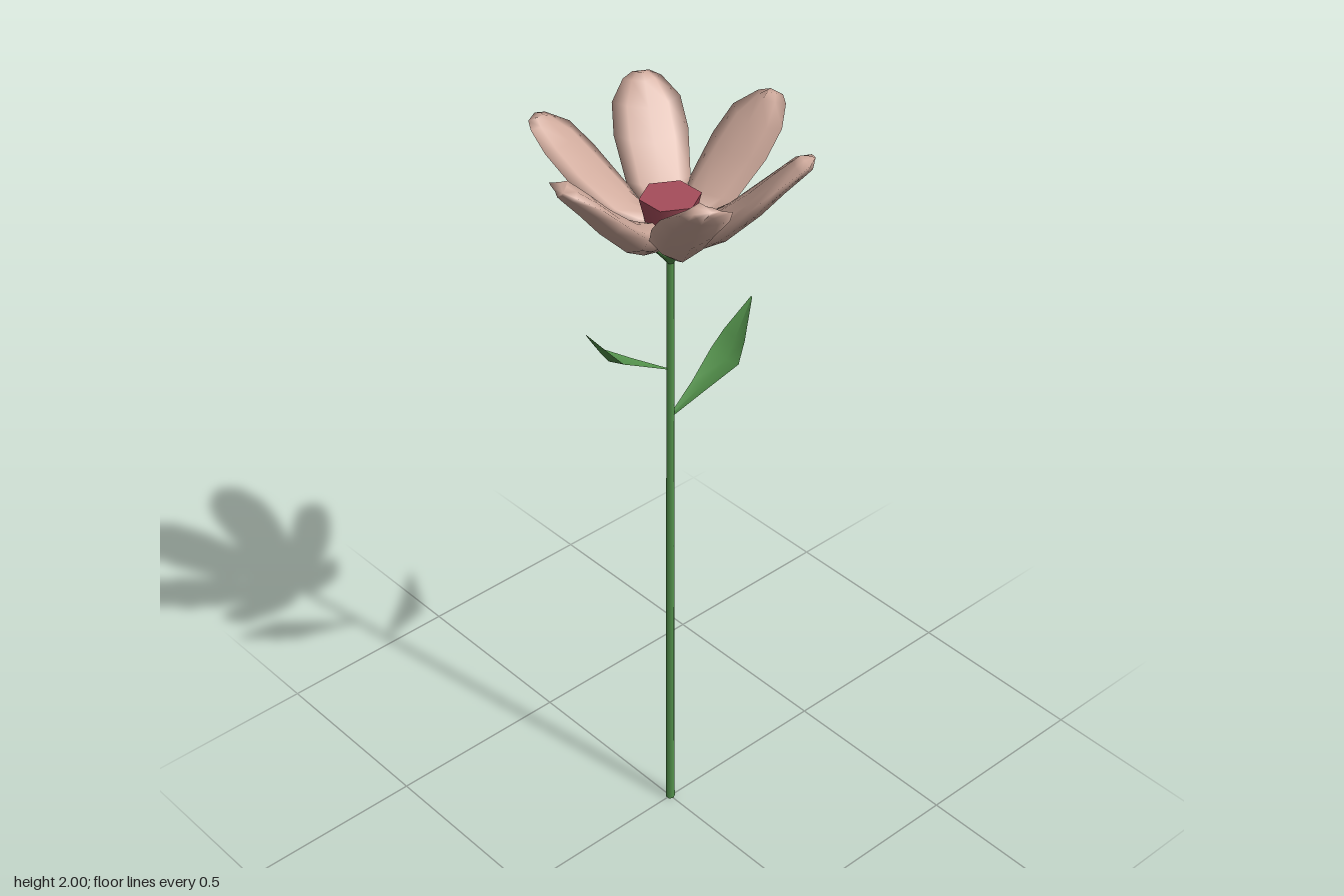
import * as THREE from 'three';

const green = new THREE.MeshStandardMaterial({ color: 0x55944d });
const leafGreen = new THREE.MeshStandardMaterial({ color: 0x55944d, side: THREE.DoubleSide });
const pink = new THREE.MeshStandardMaterial({ color: 0xd0ab9d });
const red = new THREE.MeshStandardMaterial({ color: 0xa64d5b });

// Skin a list of cross-sections (arrays of [x, y, z]); closed sections wrap round and get an end cap.
function loft(sections, closed) {
  const n = sections[0].length, index = [];
  for (let i = 0; i < sections.length - 1; i++) {
    for (let j = 0; j < (closed ? n : n - 1); j++) {
      const a = i * n + j, b = i * n + (j + 1) % n;
      index.push(a, b + n, b, a, a + n, b + n);
    }
  }
  if (closed) {
    const s = (sections.length - 1) * n;
    for (let j = 1; j < n - 1; j++) index.push(s, s + j + 1, s + j);
  }
  const geo = new THREE.BufferGeometry();
  geo.setAttribute('position', new THREE.Float32BufferAttribute(sections.flat(2), 3));
  geo.setIndex(index);
  geo.computeVertexNormals();
  return geo;
}

// Plump petal pointing along +x: stations of radius, underside height, half width, thickness, edge lift.
function petalGeometry() {
  const stations = [
    [0.03, 1.712, 0.017, 0.07, 0],
    [0.08, 1.722, 0.046, 0.072, 0.012],
    [0.13, 1.75, 0.075, 0.062, 0.025],
    [0.21, 1.832, 0.087, 0.05, 0.028],
    [0.265, 1.9, 0.08, 0.04, 0.022],
    [0.31, 1.952, 0.045, 0.032, 0.008],
    [0.325, 1.97, 0.02, 0.029, 0],
  ];
  return loft(stations.map(([r, y, w, thick, lift]) => {
    const point = (t, height) =>
      [r - 0.03 * height * (1 - t * t), y + thick * height + lift * t * t, w * t];
    const under = [-1, -0.6, 0, 0.6, 1].map(t => point(t, 0.65 * t * t));
    const upper = [0.6, 0, -0.6].map(t => point(t, 1 - 0.35 * t * t));
    return [...under, ...upper];
  }), true);
}

// Thin folded leaf: stations of reach, height, half width, sideways shift.
function leafGeometry(side, baseY, shift) {
  const stations = [
    [0, 0, 0.004, 0],
    [0.09, 0.047, 0.025, 0.6],
    [0.17, 0.09, 0.048, 1],
    [0.205, 0.135, 0.036, 0.4],
    [0.265, 0.222, 0.002, -0.5],
  ];
  return loft(stations.map(([x, y, w, s]) => [-1, 0, 1].map(t =>
    [side * (x - 0.1 * w * t * t), baseY + y + 0.28 * w * t * t, shift * s + side * w * t])), false);
}

export function createModel() {
  const flower = new THREE.Group();
  flower.name = 'flower';
  const add = (name, geo, mat, y = 0) => {
    const mesh = new THREE.Mesh(geo, mat);
    mesh.name = name;
    mesh.position.y = y;
    flower.add(mesh);
    return mesh;
  };

  // Slightly tapering stem
  add('stem', new THREE.CylinderGeometry(0.009, 0.012, 1.7, 6, 4), green, 0.85);

  // Green cup under the bloom
  const cup = [[0.008, 1.67], [0.017, 1.682], [0.038, 1.706], [0.043, 1.717], [0, 1.722]];
  add('calyx', new THREE.LatheGeometry(cup.map(p => new THREE.Vector2(...p)), 6), green);

  // Two alternate leaves
  add('leftLeaf', leafGeometry(1, 1.24, 0.01), leafGreen);
  add('rightLeaf', leafGeometry(-1, 1.375, -0.022), leafGreen);

  // Six-sided heart of the bloom
  add('flowerCentre', new THREE.CylinderGeometry(0.072, 0.045, 0.115, 6), red, 1.787);

  // Ring of petals
  const petal = petalGeometry();
  for (let i = 0; i < 6; i++) add('petal', petal, pink).rotation.y = i * Math.PI / 3;

  return flower;
}
